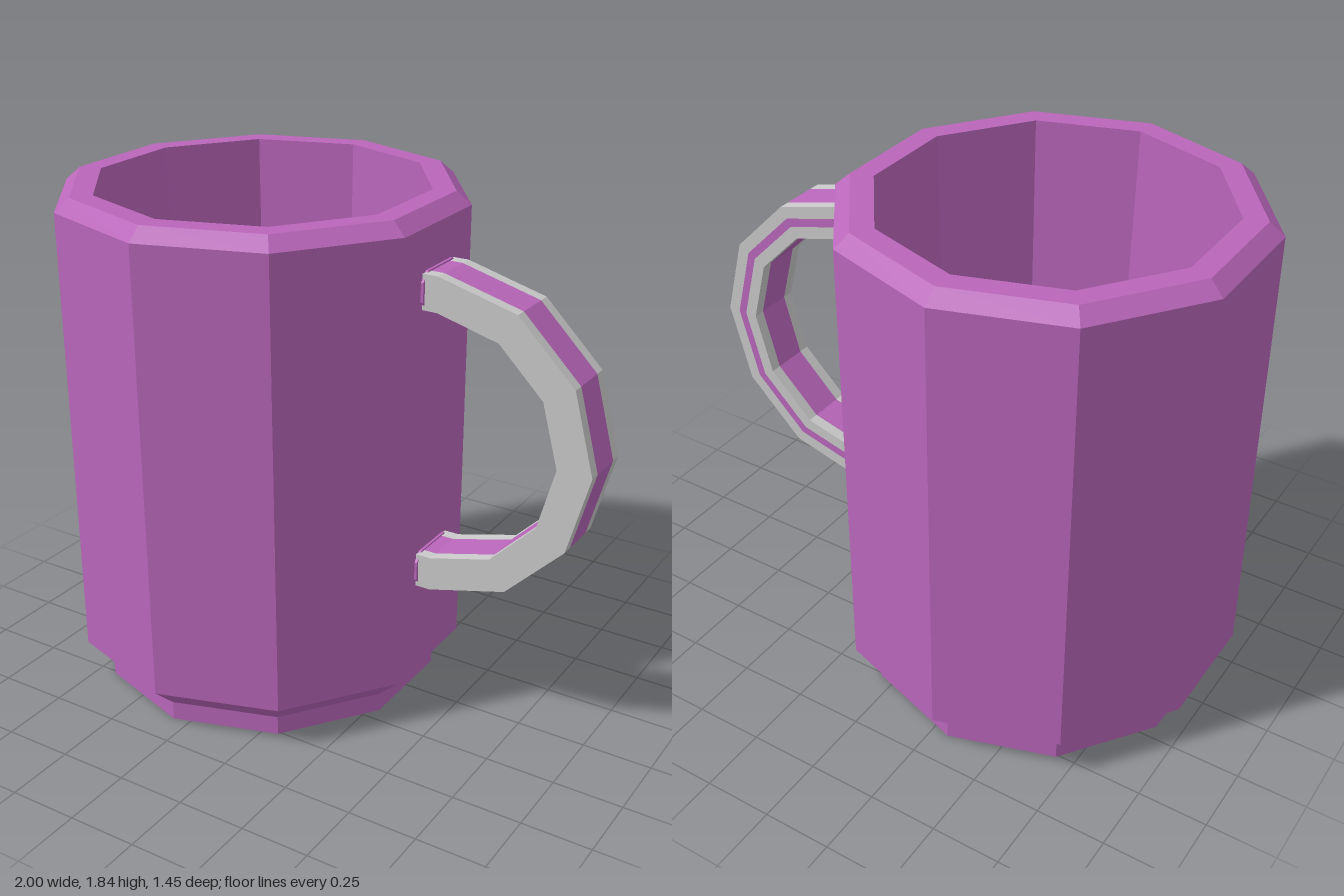
import * as THREE from 'three';

const purple = new THREE.MeshStandardMaterial({ color: 0xb966ba });
purple.name = 'purple glaze';
const grey = new THREE.MeshStandardMaterial({ color: 0xc8c8c8 });
grey.name = 'light grey';

const MUG_X = -0.3125;                 // axis of the cup
const HX = 0.43, HY = 1.072;           // centre of the handle arc
const R_OUT = 0.57, R_IN = 0.447, HALF_W = 0.105;

// Splits shared corners so every face is flat
function faceted(geometry) {
  const g = geometry.index ? geometry.toNonIndexed() : geometry;
  g.computeVertexNormals();
  return g;
}

function addMesh(parent, name, geometry, material) {
  const mesh = new THREE.Mesh(geometry, material);
  mesh.name = name;
  parent.add(mesh);
  return mesh;
}

// Ten-sided cup: recessed foot, bevelled body, rim and hollow inside
function cupGeometry() {
  const profile = [
    [0, 0.08], [0.54, 0.08], [0.54, 0], [0.63, 0], [0.63, 0.07],
    [0.7225, 0.158], [0.7225, 1.79], [0.67, 1.835], [0.59, 1.835],
    [0.54, 0.25], [0.485, 0.16], [0, 0.16],
  ].map(([r, y]) => new THREE.Vector2(r, y));
  return faceted(new THREE.LatheGeometry(profile, 10));
}

// Handle: a rectangular section swept round a half circle, striped by strip
function handleGeometry() {
  const stripe = 0.063;
  const mid = (R_OUT + R_IN) / 2, thin = 0.016;
  // Each entry: radius, z, and material index of the strip starting there
  const section = [
    [R_OUT, HALF_W, 0], [R_OUT, stripe, 1], [R_OUT, -stripe, 0],
    [R_OUT, -HALF_W, 0], [mid + thin, -HALF_W, 1], [mid - thin, -HALF_W, 0],
    [R_IN, -HALF_W, 0], [R_IN, -stripe, 1], [R_IN, stripe, 0],
    [R_IN, HALF_W, 0],
  ];
  // Each station: arc angle and x shift; the end ones run into the cup wall
  const stations = [[90, -0.07]];
  for (let a = 90; a >= -90; a -= 30) stations.push([a, 0]);
  stations.push([-90, -0.07]);

  const point = ([deg, dx], [r, z]) => {
    const a = THREE.MathUtils.degToRad(deg);
    return [HX + dx + r * Math.cos(a), HY + r * Math.sin(a), z];
  };
  const positions = [];
  const geometry = new THREE.BufferGeometry();
  section.forEach((s0, i) => {
    const s1 = section[(i + 1) % section.length];
    const start = positions.length / 3;
    for (let k = 0; k < stations.length - 1; k++) {
      const a0 = point(stations[k], s0), a1 = point(stations[k], s1);
      const b0 = point(stations[k + 1], s0), b1 = point(stations[k + 1], s1);
      positions.push(...a0, ...b0, ...b1, ...a0, ...b1, ...a1);
    }
    geometry.addGroup(start, positions.length / 3 - start, s0[2]);
  });
  geometry.setAttribute('position', new THREE.Float32BufferAttribute(positions, 3));
  return faceted(geometry);
}

// Small chamfered collar where the handle meets the cup
function collarGeometry() {
  const w = 0.115, h = 0.067, c = 0.033;
  const outline = [
    [w, -h + c], [w, h - c], [w - c, h], [-w + c, h],
    [-w, h - c], [-w, -h + c], [-w + c, -h], [w - c, -h],
  ].map(([x, y]) => new THREE.Vector2(x, y));
  const g = new THREE.ExtrudeGeometry(new THREE.Shape(outline), { depth: 0.04, bevelEnabled: false });
  g.rotateY(Math.PI / 2);
  return faceted(g);
}

export function createModel() {
  const model = new THREE.Group();
  model.name = 'mug';

  addMesh(model, 'cup', cupGeometry(), purple).position.x = MUG_X;

  const handle = new THREE.Group();
  handle.name = 'handle';
  model.add(handle);
  addMesh(handle, 'handleGrip', handleGeometry(), [grey, purple]);

  const collar = collarGeometry();
  for (const [name, side] of [['upperCollar', 1], ['lowerCollar', -1]]) {
    addMesh(handle, name, collar, purple)
      .position.set(0.344, HY + side * (R_OUT + R_IN) / 2, 0);
  }
  return model;
}
